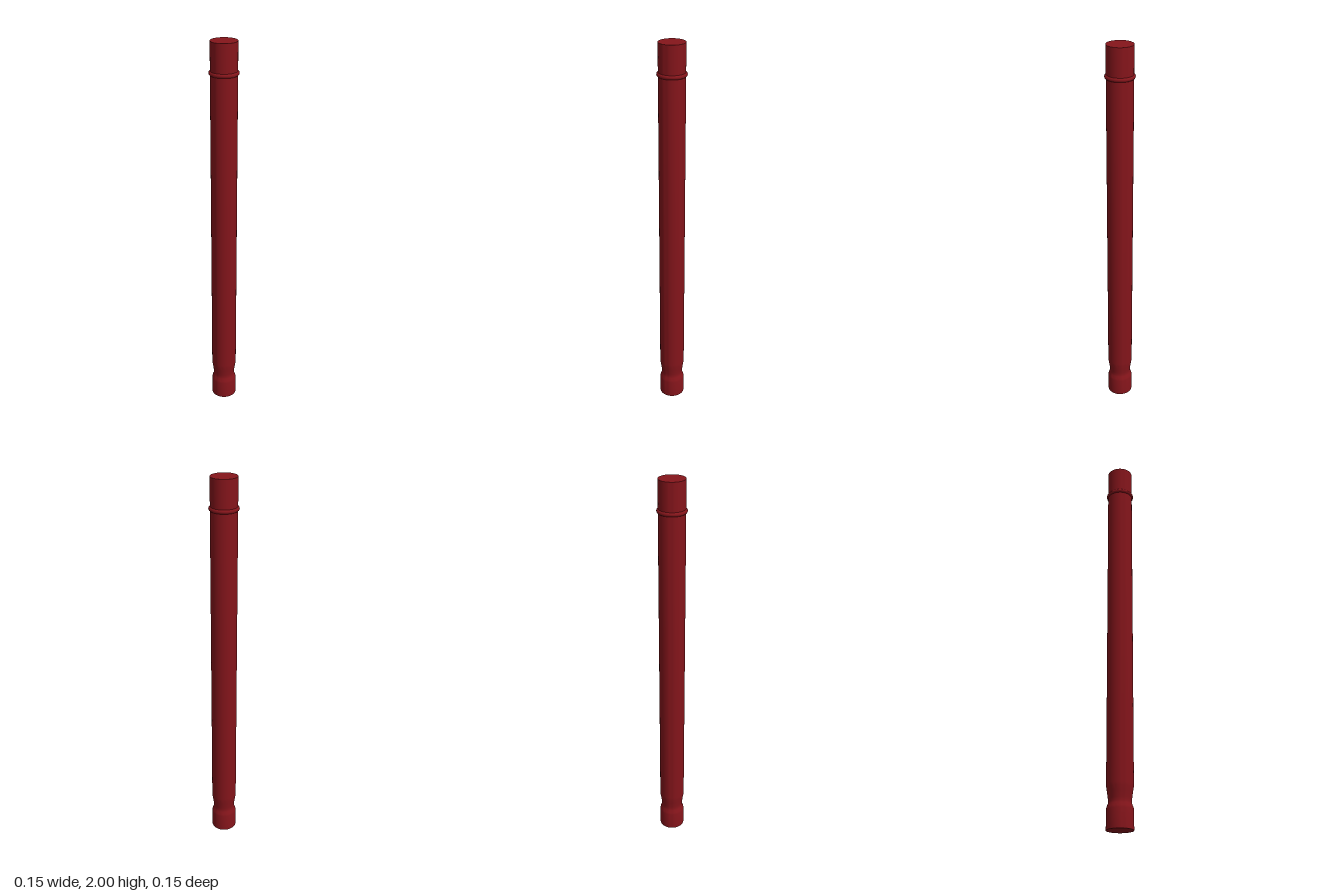
import * as THREE from 'three';
import { toCreasedNormals } from 'three/addons/utils/BufferGeometryUtils.js';

const SEGMENTS = 48;

export function createModel() {
  const group = new THREE.Group();
  const red = new THREE.MeshStandardMaterial({ color: 0x85151b });

  function add(name, geometry) {
    const mesh = new THREE.Mesh(geometry, red);
    mesh.name = name;
    group.add(mesh);
    return mesh;
  }

  // Closed tube with a pinched waist just above the foot: [radius, height]
  const profile = [
    [0, 0], [0.066, 0], [0.066, 0.095], [0.064, 0.106], [0.058, 0.12],
    [0.056, 0.13], [0.057, 0.145], [0.061, 0.175], [0.065, 0.2],
    [0.066, 0.215], [0.066, 2], [0, 2],
  ].map(([r, y]) => new THREE.Vector2(r, y));
  add('tubeBody', toCreasedNormals(new THREE.LatheGeometry(profile, SEGMENTS), 0.7));

  // Rounded ring near the top
  const ring = add('collarRing', new THREE.TorusGeometry(0.0625, 0.011, 12, SEGMENTS));
  ring.rotation.x = Math.PI / 2;
  ring.position.y = 1.85;

  return group;
}
